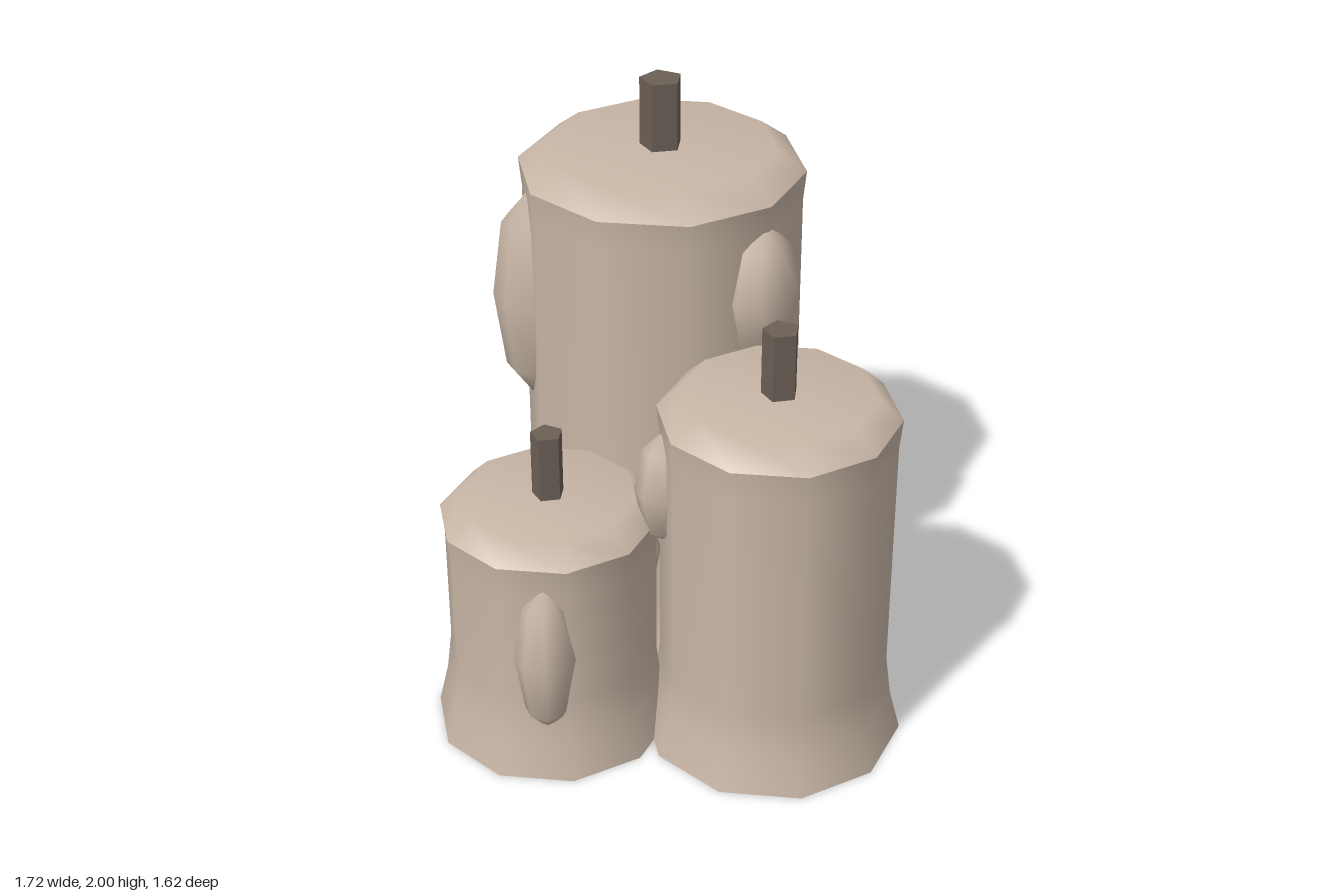
import * as THREE from 'three';

const wax = new THREE.MeshStandardMaterial({ color: 0xc8b6a6 });
wax.name = 'wax';
const wickDark = new THREE.MeshStandardMaterial({ color: 0x6b6056 });
wickDark.name = 'wick brown';

function part(name, geometry, material, parent) {
  const mesh = new THREE.Mesh(geometry, material);
  mesh.name = name;
  parent.add(mesh);
  return mesh;
}

// Ten-sided revolved surface with corners on the x axis
function lathe(points) {
  const profile = points.map(([r, y]) => new THREE.Vector2(r, y));
  return new THREE.LatheGeometry(profile, 10).rotateY(Math.PI / 2);
}

// Candle: flared foot, straight wall, bevelled cap and five-sided wick
function candle(name, { x, z, foot, wall, rim, top, height, wick, tip }) {
  const g = new THREE.Group();
  g.name = name;
  g.position.set(x, 0, z);
  part('wall', lathe([
    [foot, 0], [wall + 0.018, 0.14], [wall, 0.28],
    [wall, height - 0.17], [rim, height - 0.07],
  ]), wax, g);
  part('cap', lathe([[rim, height - 0.07], [top, height], [0, height]]), wax, g);
  part('base', lathe([[0, 0], [foot, 0]]), wax, g);
  const stick = new THREE.CylinderGeometry(wick, wick, tip - height + 0.02, 5)
    .rotateY(Math.PI / 2).toNonIndexed();
  stick.computeVertexNormals();
  part('wick', stick, wickDark, g).position.y = (tip + height - 0.02) / 2;
  return g;
}

export function createModel() {
  const model = new THREE.Group();
  model.name = 'candleCluster';

  model.add(
    candle('tallCandle', { x: -0.335, z: -0.31, foot: 0.53, wall: 0.465, rim: 0.475, top: 0.38, height: 1.77, wick: 0.071, tip: 2 }),
    candle('mediumCandle', { x: 0.43, z: -0.027, foot: 0.43, wall: 0.375, rim: 0.385, top: 0.31, height: 1.26, wick: 0.059, tip: 1.485 }),
    candle('smallCandle', { x: -0.138, z: 0.43, foot: 0.397, wall: 0.346, rim: 0.357, top: 0.285, height: 0.86, wick: 0.053, tip: 1.085 }),
  );

  // Wax drips: stretched eight-sided beads half sunk into the walls
  const drips = [
    ['tallFrontDrip', [-0.62, 1.25, 0.03], [0.135, 0.375, 0.11]],
    ['tallSideDrip', [0.11, 1.38, -0.31], [0.11, 0.25, 0.135]],
    ['mediumFrontDrip', [0.167, 0.915, 0.21], [0.095, 0.205, 0.105]],
    ['mediumBackDrip', [0.43, 0.815, -0.385], [0.105, 0.315, 0.095]],
    ['smallFrontDrip', [0.077, 0.445, 0.67], [0.1, 0.275, 0.097]],
    ['smallBackDrip', [-0.07, 0.52, 0.115], [0.095, 0.2, 0.09]],
  ];
  for (const [name, centre, radii] of drips) {
    const bead = new THREE.SphereGeometry(1, 8, 4).scale(...radii);
    part(name, bead, wax, model).position.set(...centre);
  }
  return model;
}
